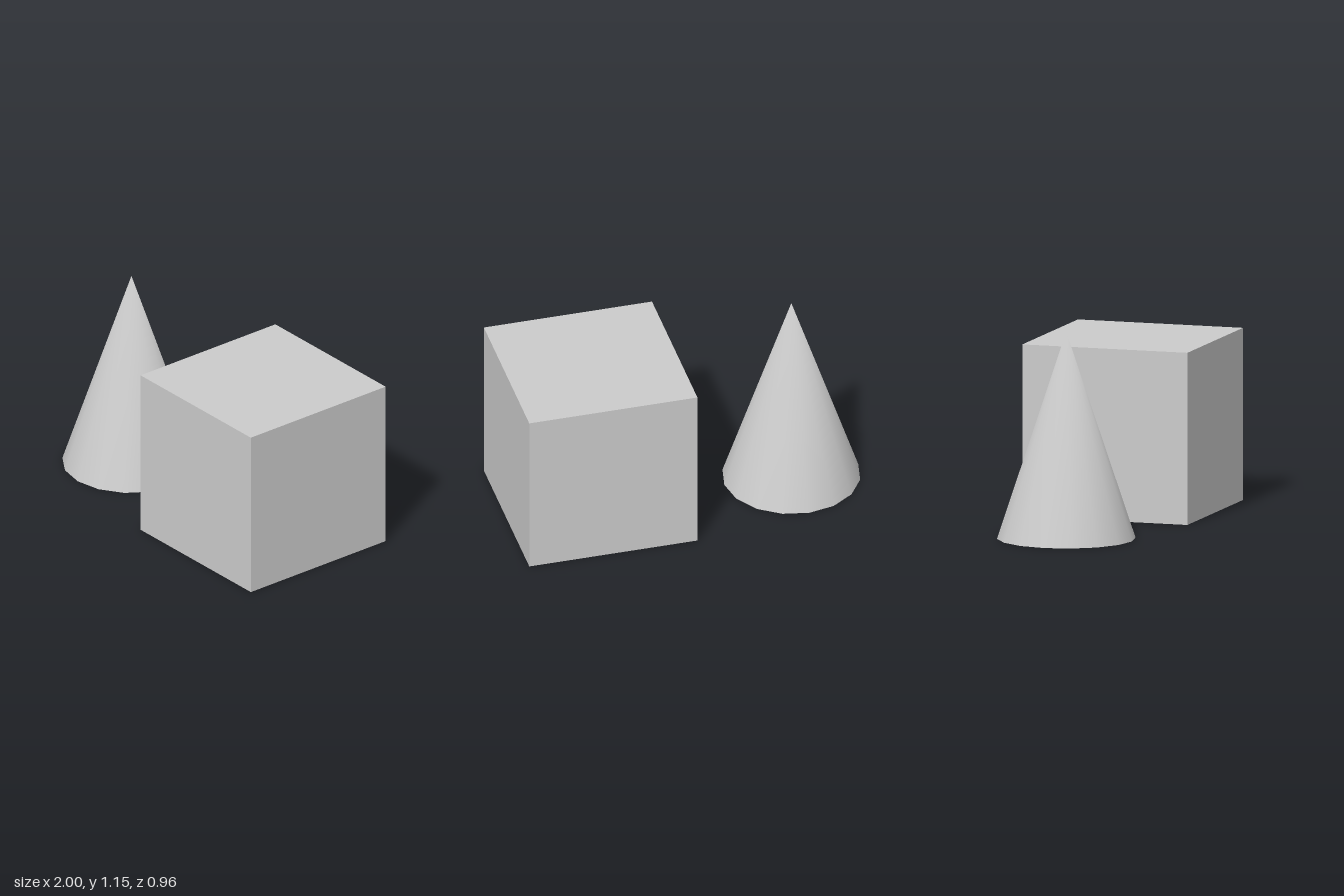
import * as THREE from 'three';

const material = new THREE.MeshStandardMaterial({ color: 0xcccccc });

function addPart(group, name, geometry, x, height) {
  const mesh = new THREE.Mesh(geometry, material);
  mesh.name = name;
  mesh.position.set(x, height / 2, 0);
  group.add(mesh);
}

// 16-sided cone whose smooth shading blends to a straight-up normal at the tip
function makeCone(radius, height, sides) {
  const geometry = new THREE.ConeGeometry(radius, height, sides);
  const { position, normal } = geometry.attributes;
  for (let i = 0; i < position.count; i++) {
    if (position.getY(i) > height / 2 - 1e-4) normal.setXYZ(i, 0, 1, 0);
  }
  return geometry;
}

export function createModel() {
  const group = new THREE.Group();
  group.name = 'coneAndCube';

  const coneHeight = 1.146;
  addPart(group, 'cone', makeCone(0.381, coneHeight, 16), -0.619, coneHeight);

  const side = 0.956;
  addPart(group, 'cube', new THREE.BoxGeometry(side, side, side), 1 - side / 2, side);

  return group;
}
